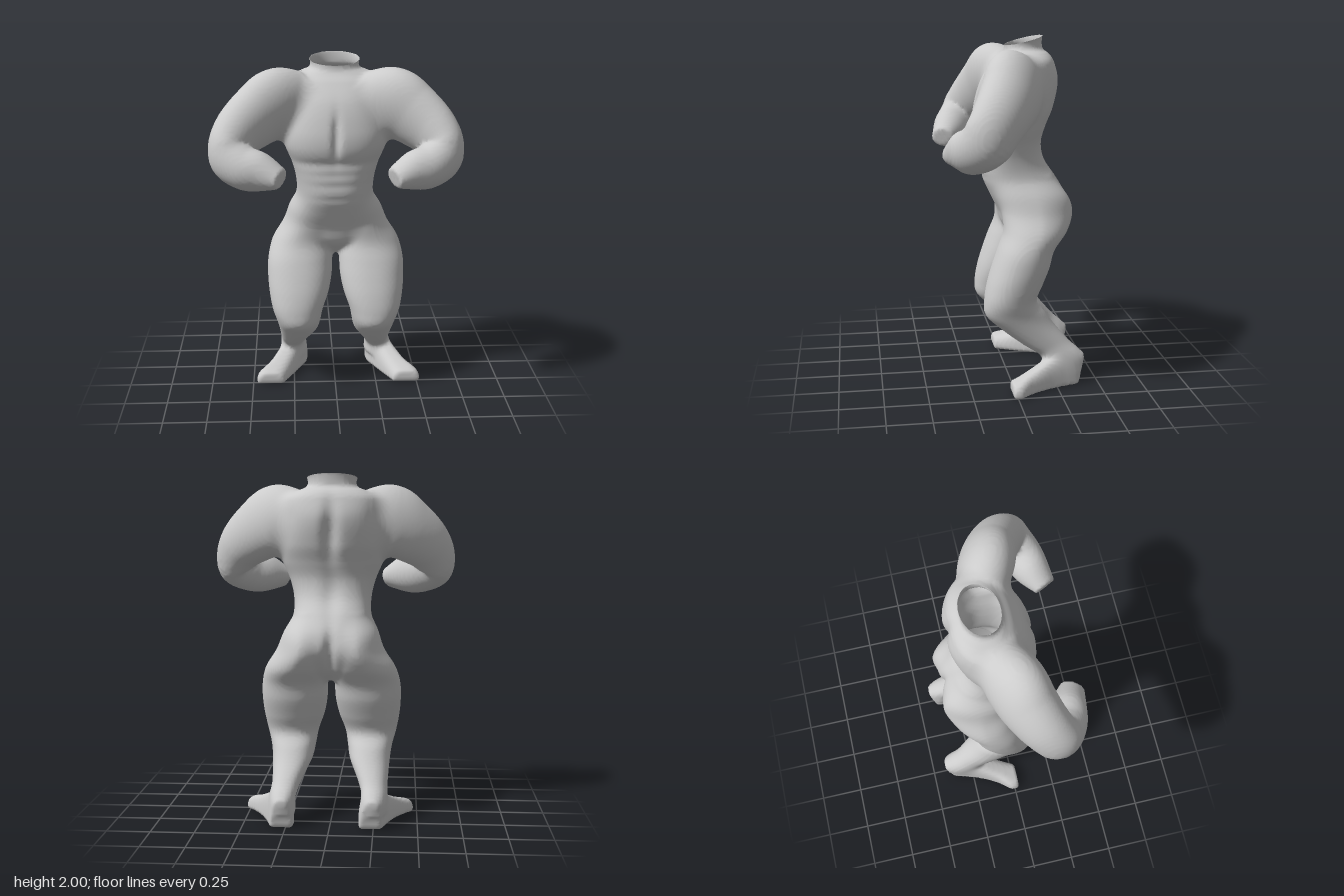
import * as THREE from 'three';

const V = (x, y, z) => new THREE.Vector3(x, y, z);
const bell = (v, c, w) => Math.exp(-(((v - c) / w) ** 2));
const gauge = (u, v, e) => (Math.abs(u) ** (2 / e) + Math.abs(v) ** (2 / e)) ** (e / 2);
const blend = (a, b, k) => {
  const h = Math.max(k - Math.abs(a - b), 0) / k;
  return Math.min(a, b) - h * h * k / 4;
};

// Smooth cross-section table, looked up by its rising first column
function profile(table) {
  const n = table.length - 1;
  return (key) => {
    if (key <= table[0][0]) return table[0];
    if (key >= table[n][0]) return table[n];
    let i = 0;
    while (key > table[i + 1][0]) i++;
    const a = table[Math.max(0, i - 1)], b = table[i], c = table[i + 1], d = table[Math.min(n, i + 2)];
    const w = c[0] - b[0], t = (key - b[0]) / w;
    return b.map((v, k) => {
      const m0 = (c[k] - a[k]) / (c[0] - a[0]) * w, m1 = (d[k] - b[k]) / (d[0] - b[0]) * w, e = v - c[k];
      return v + t * (m0 + t * (-3 * e - 2 * m0 - m1 + t * (2 * e + m0 + m1)));
    });
  };
}

// Torso: height, half width, front z, back z
const torsoAt = profile([
  [0.82, 0.05, -0.07, -0.18],
  [0.9, 0.18, 0.015, -0.28],
  [1.0, 0.24, 0.05, -0.345],
  [1.1, 0.26, 0.098, -0.338],
  [1.2, 0.225, 0.14, -0.285],
  [1.3, 0.226, 0.152, -0.22],
  [1.4, 0.25, 0.16, -0.2],
  [1.5, 0.29, 0.185, -0.225],
  [1.6, 0.3, 0.18, -0.265],
  [1.75, 0.27, 0.135, -0.295],
  [1.86, 0.25, 0.06, -0.27],
  [1.9, 0.2, 0.02, -0.245],
  [1.93, 0.14, 0.005, -0.21],
  [2.06, 0.17, 0.022, -0.217],
]);

function torso(x, y, z) {
  const [, w, zf, zb] = torsoAt(y);
  const cz = (zf + zb) / 2, d = (zf - zb) / 2;
  const s = Math.max(-1, Math.min(1, (z - cz) / d));
  let groove;
  if (s > 0) {
    // Breastbone, lower chest edge and belly creases
    groove = 0.03 * bell(x, 0, 0.022) * bell(y, 1.57, 0.11) + 0.009 * bell(y, 1.41, 0.025);
    for (const k of [1.2, 1.28, 1.345]) groove += 0.005 * bell(y, k, 0.016) * bell(x, 0, 0.13);
  } else {
    // Spine furrow, small of the back and seat cleft
    groove = 0.045 * bell(x, 0, 0.04) * bell(y, 1.68, 0.14)
      + 0.02 * bell(x, 0, 0.05) * bell(y, 1.3, 0.12) + 0.05 * bell(x, 0, 0.03) * bell(y, 0.98, 0.12);
  }
  const g = gauge(x / w, (z + s * groove - cz) / d, 0.84 + 0.16 * bell(y, 2, 0.08));
  return Math.max((g - 1) * Math.min(w, d), 0.82 - y);
}

// Leg: height, inner x, outer x, front z, back z
const legAt = profile([
  [0.09, 0.195, 0.325, -0.2, -0.4],
  [0.16, 0.195, 0.33, -0.18, -0.41],
  [0.25, 0.16, 0.335, -0.05, -0.335],
  [0.35, 0.11, 0.345, 0.08, -0.25],
  [0.42, 0.095, 0.357, 0.15, -0.2],
  [0.5, 0.08, 0.38, 0.157, -0.145],
  [0.6, 0.045, 0.398, 0.14, -0.18],
  [0.7, 0.025, 0.406, 0.11, -0.22],
  [0.8, 0.02, 0.402, 0.075, -0.25],
  [0.9, 0.012, 0.374, 0.04, -0.33],
  [1.0, 0.01, 0.312, 0.042, -0.366],
  [1.1, 0.02, 0.268, 0.055, -0.335],
  [1.2, 0.07, 0.19, 0.03, -0.22],
]);

function leg(x, y, z) {
  const [, xi, xo, zf, zb] = legAt(y);
  const w = (xo - xi) / 2, d = (zf - zb) / 2;
  const u = (x - xi - w) / w, v = (z - zb - d) / d;
  // The seat narrows towards its outer back corner
  const e = 0.92 + (u > 0 && v < 0 ? 0.4 * bell(y, 0.98, 0.14) : 0);
  return Math.max((gauge(u, v, e) - 1) * Math.min(w, d), 0.09 - y, y - 1.2);
}

// Foot: z, centre x, half width, height
const footAt = profile([
  [-0.41, 0.255, 0.05, 0.16],
  [-0.36, 0.255, 0.07, 0.19],
  [-0.28, 0.272, 0.078, 0.195],
  [-0.2, 0.305, 0.076, 0.165],
  [-0.1, 0.355, 0.08, 0.12],
  [-0.02, 0.405, 0.092, 0.09],
  [0.025, 0.415, 0.08, 0.075],
]);

function foot(x, y, z) {
  const [, cx, w, h] = footAt(z);
  const g = gauge((x - cx) / w, y / h, 0.65);
  return Math.max((g - 1) * Math.min(w, h), 0.003 - y, -0.412 - z - 0.2 * (y - 0.15), z - 0.027);
}

// Arm: centre line, then radius up and down, radius sideways
const armLine = profile([
  [0, 0.19, 1.755, -0.06, 0.16, 0.13],
  [1, 0.33, 1.735, 0, 0.21, 0.148],
  [2, 0.44, 1.675, 0.045, 0.192, 0.145],
  [3, 0.55, 1.585, 0.115, 0.162, 0.132],
  [4, 0.598, 1.485, 0.185, 0.142, 0.114],
  [5, 0.52, 1.425, 0.245, 0.127, 0.114],
  [6, 0.42, 1.405, 0.285, 0.112, 0.1],
  [7, 0.31, 1.377, 0.34, 0.055, 0.068],
]);
const armSteps = Array.from({ length: 64 }, (_, i) => {
  const [, x, y, z, rn, rb] = armLine(i / 9);
  const a = armLine(i / 9 - 0.05), b = armLine(i / 9 + 0.05);
  const T = V(b[1] - a[1], b[2] - a[2], b[3] - a[3]), len = T.length();
  T.divideScalar(len);
  const B = T.clone().cross(V(0, -0.95, -0.3)).normalize();
  return { x, y, z, rn, rb, T, B, N: B.clone().cross(T), dn: (b[4] - a[4]) / len, db: (b[5] - a[5]) / len };
});

function arm(x, y, z) {
  if (y < 1.18 || x < 0.08) return 9;
  let near = 0, best = Infinity;
  armSteps.forEach((s, i) => {
    const q = (x - s.x) ** 2 + (y - s.y) ** 2 + (z - s.z) ** 2;
    if (q < best) { best = q; near = i; }
  });
  const s = armSteps[near], o = V(x - s.x, y - s.y, z - s.z), t = o.dot(s.T);
  const slide = Math.abs(t) < 0.02 ? t : 0, rn = s.rn + s.dn * slide, rb = s.rb + s.db * slide;
  const f = (gauge(o.dot(s.N) / rn, o.dot(s.B) / rb, 1) - 1) * Math.min(rn, rb);
  if (near === 0) return Math.max(f, -t);
  return near === armSteps.length - 1 ? Math.max(f, t) : f;
}

// Signed fields of the four kinds of part, and their soft union
const fields = (x, y, z) => [torso(x, y, z), arm(Math.abs(x), y, z),
  leg(Math.abs(x - 0.006), y, z), foot(Math.abs(x - 0.02), y, z)];
function body(x, y, z) {
  const [t, a, l, f] = fields(x, y, z);
  return blend(blend(t, a, 0.05), blend(l, f, 0.03), 0.03);
}

// Sloping rim of the open neck
const rim = (x, z) => (Math.abs(x) < 0.2 ? 1.972 - 0.25 * (z + 0.1) : 9);

export function createModel() {
  const H = 0.014, low = [-0.763, -0.04, -0.46], dims = [110, 151, 67];
  const step = [1, dims[0], dims[0] * dims[1]], count = step[2] * dims[2];
  const coord = (n) => [n % dims[0], Math.floor(n / step[1]) % dims[1], Math.floor(n / step[2])];
  const value = new Float32Array(count), vert = new Int32Array(count).fill(-1);
  for (let n = 0; n < count; n++) value[n] = body(...coord(n).map((c, a) => low[a] + c * H));

  // One point in every grid cell that the skin passes through
  const pts = [], over = [];
  for (let n = 0; n < count; n++) {
    const c = coord(n);
    if (c.some((v, a) => v >= dims[a] - 1)) continue;
    const sum = [0, 0, 0];
    let hits = 0;
    for (let a = 0; a < 3; a++) {
      const b = (a + 1) % 3, d = (a + 2) % 3;
      for (let q = 0; q < 4; q++) {
        const u = q & 1, w = q >> 1, m = n + u * step[b] + w * step[d];
        const f0 = value[m], f1 = value[m + step[a]];
        if ((f0 < 0) === (f1 < 0)) continue;
        sum[a] += f0 / (f0 - f1); sum[b] += u; sum[d] += w;
        hits++;
      }
    }
    if (!hits) continue;
    const p = V(...c.map((v, a) => low[a] + (v + sum[a] / hits) * H)), top = rim(p.x, p.z);
    vert[n] = pts.length;
    over.push(p.y > top);
    p.y = Math.min(p.y, top);
    pts.push(p);
  }

  // Join neighbouring points, sorting the faces by body part
  const kinds = ['torso', 'Arm', 'Leg', 'Foot'], parts = {}, all = [];
  for (let n = 0; n < count; n++) {
    const c = coord(n);
    for (let a = 0; a < 3; a++) {
      const b = (a + 1) % 3, d = (a + 2) % 3;
      if (c[a] >= dims[a] - 1 || !c[b] || !c[d] || (value[n] < 0) === (value[n + step[a]] < 0)) continue;
      const q = [n, n - step[b], n - step[b] - step[d], n - step[d]].map((m) => vert[m]);
      if (q.some((v) => v < 0) || q.every((v) => over[v])) continue;
      if (value[n] >= 0) q.reverse();
      const p = pts[q[0]], f = fields(p.x, p.y, p.z), k = f.indexOf(Math.min(...f));
      const name = k ? (p.x > 0 ? 'left' : 'right') + kinds[k] : kinds[0];
      const tris = [q[0], q[1], q[2], q[0], q[2], q[3]];
      (parts[name] ??= []).push(...tris);
      all.push(...tris);
    }
  }

  // Shared normals keep the joins between parts smooth
  const skin = new THREE.BufferGeometry().setFromPoints(pts).setIndex(all);
  skin.computeVertexNormals();
  const mat = new THREE.MeshStandardMaterial({ color: 0xcccccc, side: THREE.DoubleSide });
  const model = new THREE.Group();
  model.name = 'headlessBody';
  for (const [name, index] of Object.entries(parts)) {
    const mesh = new THREE.Mesh(skin.clone().setIndex(index).toNonIndexed(), mat);
    mesh.name = name;
    model.add(mesh);
  }
  return model;
}
